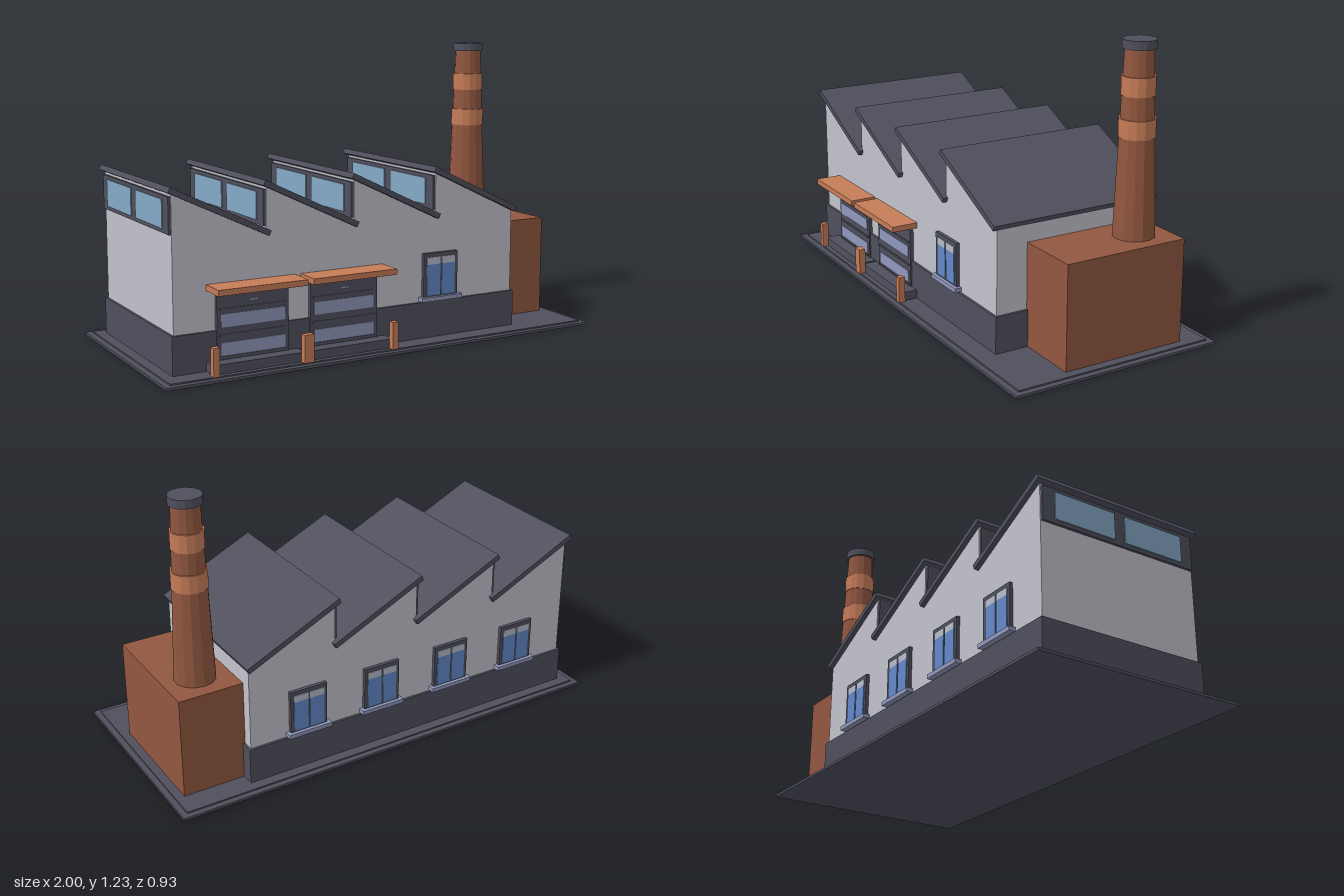
import * as THREE from 'three';

const mat = (name, color, extra = {}) => {
  const m = new THREE.MeshStandardMaterial({ color, ...extra });
  m.name = name;
  return m;
};

export function createModel() {
  const wall = mat('paleWall', 0xc2c2cc);
  const dark = mat('slateGrey', 0x50505e);
  const brick = mat('brick', 0x915740);
  const accent = mat('terracotta', 0xc67c58);
  const trim = mat('lavenderTrim', 0x9097bb);
  const glass = mat('blueGlass', 0x6388c8);
  const skyGlass = mat('skylightGlass', 0x84a9c6);
  const blind = mat('windowBlind', 0xb6bcc8);

  const model = new THREE.Group();
  model.name = 'factory';

  const add = (parent, name, geometry, material) => {
    const mesh = new THREE.Mesh(geometry, material);
    mesh.name = name;
    parent.add(mesh);
    return mesh;
  };
  // Box given by its low and high limits on each axis
  const box = (parent, name, material, x0, x1, y0, y1, z0, z1) => {
    const mesh = add(parent, name, new THREE.BoxGeometry(x1 - x0, y1 - y0, z1 - z0), material);
    mesh.position.set((x0 + x1) / 2, (y0 + y1) / 2, (z0 + z1) / 2);
    return mesh;
  };
  const group = (name, x = 0, y = 0, z = 0) => {
    const g = new THREE.Group();
    g.name = name;
    g.position.set(x, y, z);
    model.add(g);
    return g;
  };

  // Ground slab in two steps
  box(model, 'baseSlab', dark, -1, 1, 0, 0.011, -0.465, 0.465);
  box(model, 'baseStep', dark, -0.975, 0.975, 0.011, 0.017, -0.44, 0.44);

  // Hall with a sawtooth profile
  const teeth = 4, pitch = 0.395, left = -0.92, back = -0.385, front = 0.345;
  const profile = new THREE.Shape();
  profile.moveTo(left, 0.016);
  for (let i = 0; i < teeth; i++) {
    profile.lineTo(left + i * pitch, 0.716);
    profile.lineTo(left + (i + 1) * pitch, 0.527);
  }
  profile.lineTo(left + teeth * pitch, 0.016);
  const hall = new THREE.ExtrudeGeometry(profile, { depth: front - back, bevelEnabled: false });
  add(model, 'hallWalls', hall, wall).position.z = back;
  box(model, 'plinth', dark, -0.93, 0.67, 0.016, 0.172, -0.395, 0.355);

  // Sloping roof panels and the skylight band under each ridge
  for (let i = 0; i < teeth; i++) {
    const bay = group('roofBay', left + i * pitch);
    const panel = add(bay, 'roofPanel', new THREE.BoxGeometry(0.464, 0.023, 0.77), dark);
    panel.position.set(0.195, 0.634, -0.02);
    panel.rotation.z = -Math.atan2(0.2, 0.42);
    box(bay, 'skylightFrame', dark, -0.01, 0.002, 0.56, 0.705, back + 0.005, front - 0.005);
    for (const z of [-0.185, 0.145])
      box(bay, 'skylightPane', skyGlass, -0.014, -0.008, 0.577, 0.69, z - 0.14, z + 0.14);
  }

  // Two-pane window, built facing +z with its origin on the wall
  const addWindow = (x, z, turn) => {
    const w = group('window', x, 0, z);
    w.rotation.y = turn;
    box(w, 'windowFrame', dark, -0.085, 0.085, 0.19, 0.38, -0.005, 0.015);
    for (const s of [-1, 1]) {
      const a = s * 0.037;
      box(w, 'windowPane', glass, a - 0.033, a + 0.033, 0.2, 0.332, 0.012, 0.018);
      box(w, 'windowBlind', blind, a - 0.033, a + 0.033, 0.332, 0.362, 0.012, 0.018);
    }
    box(w, 'windowSill', trim, -0.1, 0.1, 0.176, 0.194, -0.005, 0.03);
  };
  addWindow(0.285, front, 0);
  for (const x of [-0.66, -0.307, 0.046, 0.398]) addWindow(x, back, Math.PI);

  // Loading bays: door, step, canopy and a pair of bollards
  for (const x of [-0.592, -0.185]) {
    const bay = group('loadingBay', x);
    box(bay, 'doorFrame', dark, -0.155, 0.155, 0.05, 0.312, 0.34, 0.361);
    for (const y of [0.097, 0.21])
      box(bay, 'doorPanel', trim, -0.138, 0.138, y - 0.026, y + 0.026, 0.358, 0.364);
    for (const y of [0.066, 0.153, 0.255])
      box(bay, 'doorRib', dark, -0.145, 0.145, y - 0.004, y + 0.004, 0.358, 0.365);
    box(bay, 'doorHandle', trim, -0.018, 0.018, 0.28, 0.285, 0.359, 0.364);
    box(bay, 'loadingStep', dark, -0.198, 0.198, 0.016, 0.055, 0.345, 0.418);
    box(bay, 'canopy', accent, -0.191, 0.191, 0.332, 0.356, 0.344, 0.46);
    for (const s of [-1, 1])
      box(bay, 'bollard', accent, s * 0.195 - 0.013, s * 0.195 + 0.013, 0.016, 0.13, 0.416, 0.445);
  }

  // Boiler house
  box(model, 'boilerHouse', brick, 0.66, 0.938, 0.016, 0.45, -0.337, 0.208);

  // Chimney: tapered shaft, two raised bands and a cap
  const chimney = group('chimney', 0.8, 0, -0.195);
  const drum = (name, material, rTop, rBottom, y0, y1) => {
    const g = new THREE.CylinderGeometry(rTop, rBottom, y1 - y0, 14).toNonIndexed();
    g.computeVertexNormals();
    add(chimney, name, g, material).position.y = (y0 + y1) / 2;
  };
  drum('chimneyShaft', brick, 0.058, 0.086, 0.45, 1.2);
  drum('chimneyBand', accent, 0.074, 0.074, 0.85, 0.925);
  drum('chimneyBand', accent, 0.068, 0.068, 1.015, 1.09);
  drum('chimneyCap', dark, 0.068, 0.068, 1.195, 1.23);

  return model;
}
